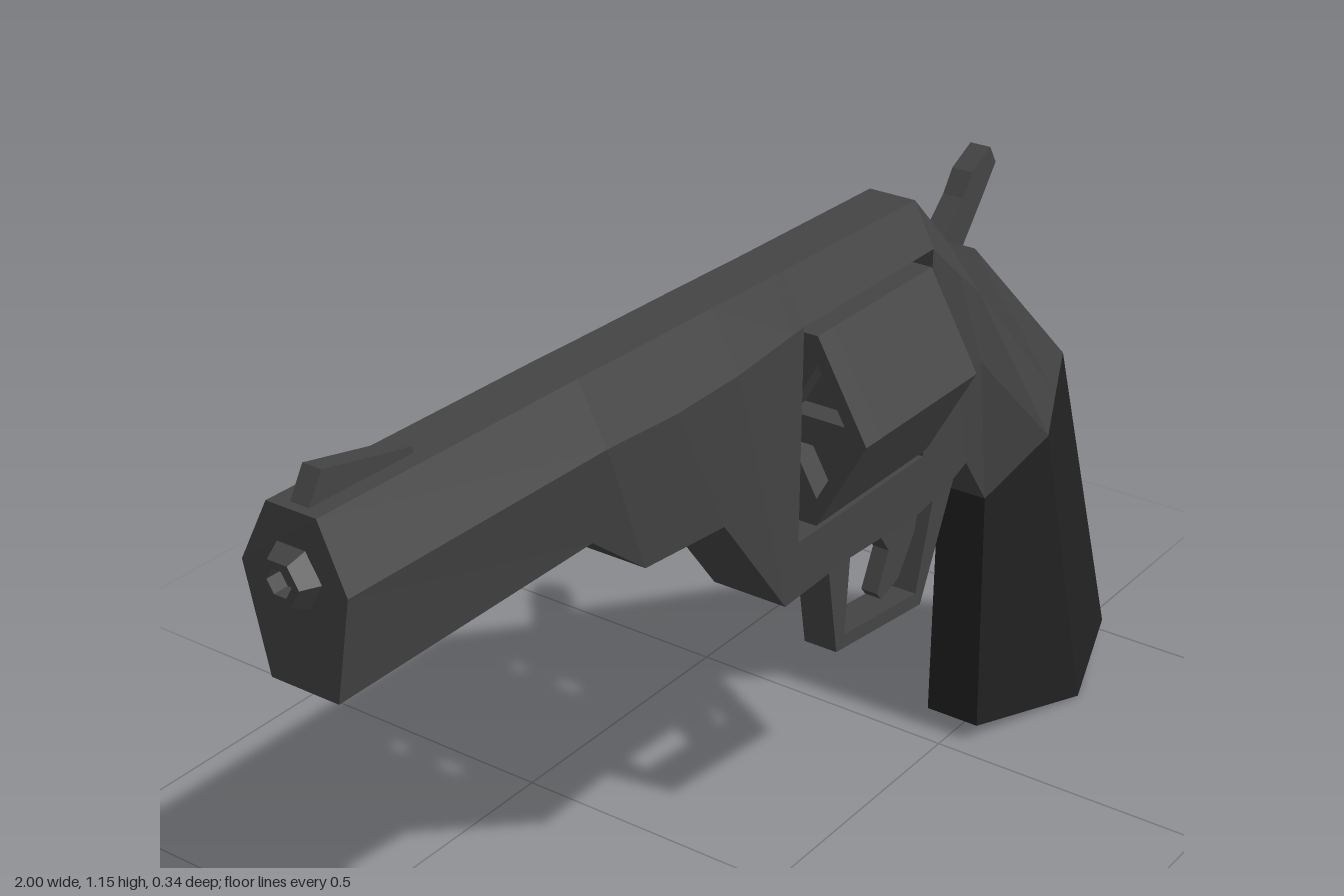
import * as THREE from 'three';

const gunmetal = new THREE.MeshStandardMaterial({ color: 0x444444 });
const gripBlack = new THREE.MeshStandardMaterial({ color: 0x222222 });

// Faceted mesh with one normal per face
function part(name, geometry, material = gunmetal) {
  const g = geometry.index ? geometry.toNonIndexed() : geometry;
  g.computeVertexNormals();
  const mesh = new THREE.Mesh(g, material);
  mesh.name = name;
  return mesh;
}

// Joins mirrored cross-sections; each point is [x, y, half width], listed top to bottom
function loft(sections) {
  const n = sections[0].length * 2;
  const pos = [], idx = [];
  for (const s of sections) {
    for (const [x, y, w] of s) pos.push(x, y, w);
    for (const [x, y, w] of [...s].reverse()) pos.push(x, y, -w);
  }
  for (let i = 0; i < sections.length - 1; i++) {
    for (let j = 0; j < n; j++) {
      const a = i * n + j, b = i * n + (j + 1) % n;
      idx.push(a, b, b + n, a, b + n, a + n);
    }
  }
  const last = (sections.length - 1) * n;
  for (let j = 1; j < n - 1; j++) {
    idx.push(0, j + 1, j, last, last + j, last + j + 1);
  }
  const g = new THREE.BufferGeometry();
  g.setAttribute('position', new THREE.Float32BufferAttribute(pos, 3));
  g.setIndex(idx);
  return g;
}

const outline = pts => new THREE.Shape(pts.map(([x, y]) => new THREE.Vector2(x, y)));

// Side outline given thickness across z
function plate(pts, halfWidth) {
  return new THREE.ExtrudeGeometry(outline(pts), { depth: halfWidth * 2, bevelEnabled: false })
    .translate(0, 0, -halfWidth);
}

// Six-sided drum slice along x, optionally with six triangular chambers
function drumSlice(x, depth, chambers) {
  const corner = k => [0.17 * Math.cos(k * Math.PI / 3), 0.176 * Math.sin(k * Math.PI / 3)];
  const shape = outline([0, 1, 2, 3, 4, 5].map(corner));
  if (chambers) {
    for (let k = 0; k < 6; k++) {
      const tri = [[0, 0], corner(k), corner(k + 1)];
      const cx = (tri[1][0] + tri[2][0]) / 3, cy = (tri[1][1] + tri[2][1]) / 3;
      shape.holes.push(outline(tri.map(([px, py]) => [cx + (px - cx) * 0.56, cy + (py - cy) * 0.56])));
    }
  }
  return new THREE.ExtrudeGeometry(shape, { depth, bevelEnabled: false })
    .rotateY(Math.PI / 2).translate(x, 0.838, 0);
}

export function createModel() {
  const model = new THREE.Group();

  // Barrel with underlug, widening down into the front of the frame
  model.add(part('barrel', loft([
    [[-0.97, 1.11, 0.04], [-0.975, 1.02, 0.085], [-0.975, 0.865, 0.055]],
    [[-0.49, 1.1, 0.04], [-0.49, 1.012, 0.085], [-0.49, 0.865, 0.055]],
    [[-0.36, 1.096, 0.04], [-0.34, 1.002, 0.085], [-0.385, 0.78, 0.06]],
    [[-0.2, 1.092, 0.04], [-0.2, 1.004, 0.085], [-0.21, 0.767, 0.065]],
    [[-0.06, 1.088, 0.04], [-0.06, 1.009, 0.077], [-0.06, 0.565, 0.065]],
    [[-0.03, 1.087, 0.04], [-0.03, 1.01, 0.075], [-0.03, 0.566, 0.065]],
  ])));

  // Straps above and below the drum opening
  model.add(part('topStrap', loft([
    [[-0.03, 1.087, 0.04], [-0.03, 1.01, 0.075]],
    [[0.31, 1.08, 0.04], [0.31, 1.01, 0.075]],
  ])));
  model.add(part('bottomStrap', loft([
    [[-0.03, 0.66, 0.067], [-0.03, 0.566, 0.065]],
    [[0.1, 0.66, 0.067], [0.1, 0.57, 0.065]],
    [[0.31, 0.66, 0.067], [0.31, 0.559, 0.065]],
  ])));

  // Rear frame, bending down to the grip
  model.add(part('rearFrame', loft([
    [[0.31, 1.08, 0.04], [0.31, 1.01, 0.075], [0.31, 0.66, 0.067], [0.31, 0.559, 0.065]],
    [[0.43, 0.97, 0.025], [0.43, 0.92, 0.05], [0.43, 0.75, 0.055], [0.41, 0.555, 0.05]],
    [[0.49, 0.94, 0.04], [0.49, 0.87, 0.05], [0.49, 0.75, 0.06], [0.48, 0.57, 0.045]],
    [[0.785, 0.65, 0.045], [0.717, 0.607, 0.0725], [0.65, 0.565, 0.1], [0.545, 0.476, 0.045]],
  ])));

  // Grip
  model.add(part('grip', loft([
    [[0.785, 0.65, 0.045], [0.65, 0.565, 0.1], [0.545, 0.476, 0.045]],
    [[1, 0.022, 0.042], [0.775, 0, 0.12], [0.542, 0.033, 0.05]],
  ]), gripBlack));

  // Revolving drum with recessed ends, on its axle
  const drum = new THREE.Group();
  drum.name = 'drum';
  drum.add(
    part('drumFront', drumSlice(-0.01, 0.04, true)),
    part('drumCore', drumSlice(0.03, 0.22, false)),
    part('drumBack', drumSlice(0.25, 0.04, true)),
    part('axle', new THREE.CylinderGeometry(0.03, 0.03, 0.36, 6)
      .rotateZ(Math.PI / 2).translate(0.14, 0.842, 0)),
  );
  model.add(drum);

  // Muzzle ring with a bore
  const ring = [[0.045, 0], [0.032, 0.025], [0.02, 0.025], [0.02, 0.002], [0, 0.002]];
  model.add(part('muzzleRing', new THREE.LatheGeometry(ring.map(([r, h]) => new THREE.Vector2(r, h)), 6)
    .rotateZ(Math.PI / 2).translate(-0.975, 1.025, 0)));

  // Sight, hammer, trigger and its guard
  model.add(part('frontSight', plate(
    [[-0.95, 1.1], [-0.775, 1.1], [-0.775, 1.115], [-0.93, 1.15], [-0.955, 1.11]], 0.015)));
  model.add(part('hammer', plate(
    [[0.42, 0.93], [0.48, 0.92], [0.49, 0.94], [0.54, 1.0], [0.58, 1.05], [0.562, 1.08],
      [0.51, 1.055], [0.485, 1.02], [0.43, 0.97]], 0.018)));
  model.add(part('trigger', plate(
    [[0.23, 0.58], [0.3, 0.48], [0.268, 0.415], [0.28, 0.4], [0.33, 0.415], [0.375, 0.48],
      [0.4, 0.58]], 0.015)));
  model.add(part('triggerGuard', plate(
    [[0.1, 0.58], [0.13, 0.38], [0.375, 0.35], [0.485, 0.58], [0.42, 0.58], [0.36, 0.377],
      [0.152, 0.402], [0.17, 0.58]], 0.03)));

  return model;
}
